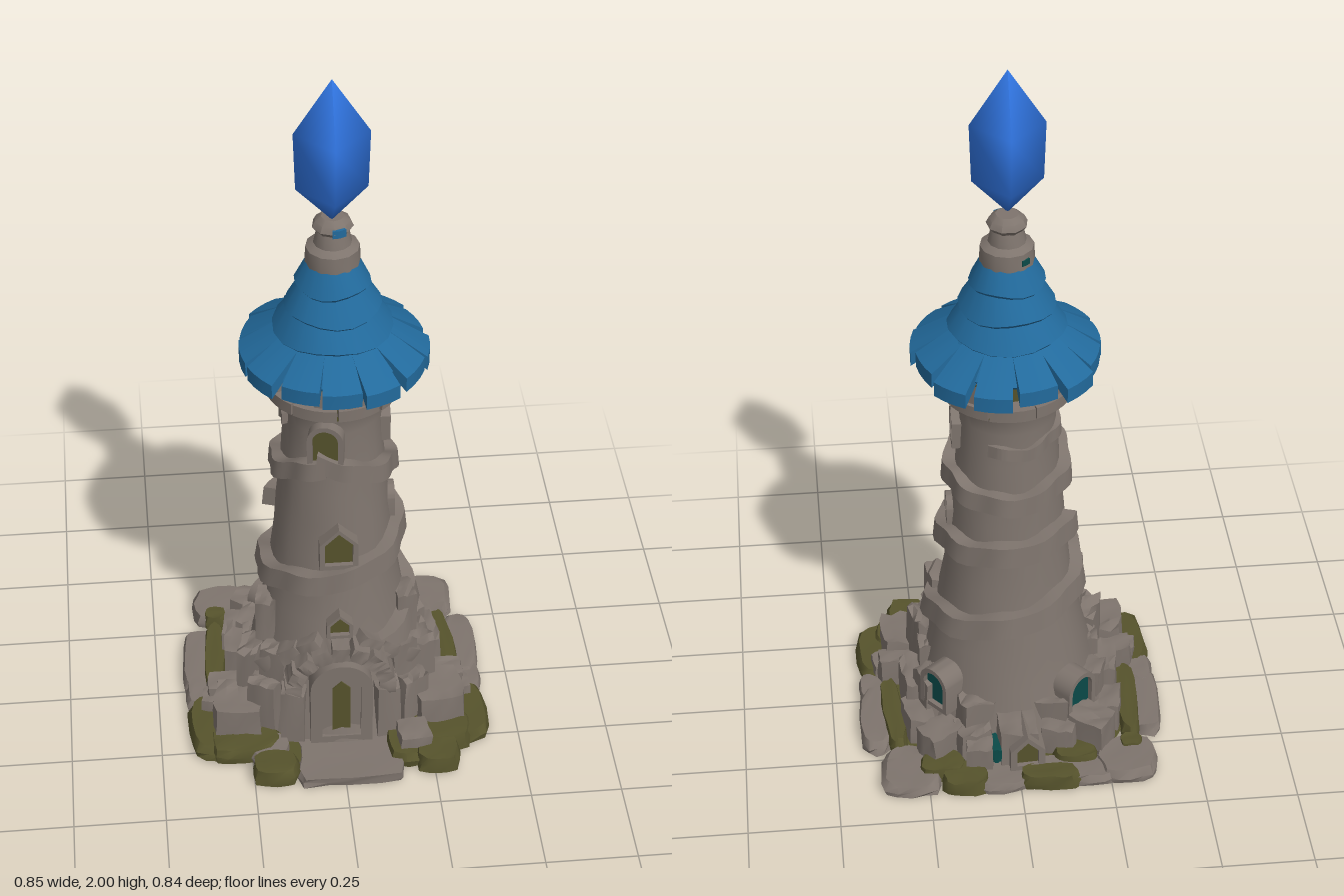
import * as THREE from 'three';
import { toCreasedNormals } from 'three/addons/utils/BufferGeometryUtils.js';

const mat = (name, color) => Object.assign(new THREE.MeshStandardMaterial({ color }), { name });

export function createModel() {
  const stone = mat('stone', 0x7e746d), moss = mat('moss', 0x56532c), tile = mat('roofBlue', 0x226a9c);
  const gem = mat('crystalBlue', 0x2f72dc), teal = mat('darkTeal', 0x0a4a48);
  const mossyStone = [stone, stone, stone, moss, stone, stone]; // box faces, moss underneath
  const root = new THREE.Group();
  const PI = Math.PI;

  const add = (name, geo, material, parent = root, crease = 0.6) => {
    const m = new THREE.Mesh(toCreasedNormals(geo, crease), material);
    m.name = name;
    parent.add(m);
    return m;
  };
  // Apply a rule to every vertex
  const warp = (geo, rule) => {
    const p = geo.attributes.position, v = new THREE.Vector3();
    for (let i = 0; i < p.count; i++) {
      rule(v.fromBufferAttribute(p, i));
      p.setXYZ(i, v.x, v.y, v.z);
    }
    return geo;
  };
  const noise = (x, y, z) => {
    const s = Math.sin(x * 127.1 + y * 311.7 + z * 74.7) * 43758.5453;
    return s - Math.floor(s) - 0.5;
  };
  // Piecewise interpolation through [key, value] pairs
  const along = (pts, t) => {
    for (let i = 1; i < pts.length; i++) {
      const [a, b] = [pts[i - 1], pts[i]];
      if (t <= b[0] || i === pts.length - 1) return a[1] + (b[1] - a[1]) * (t - a[0]) / (b[0] - a[0]);
    }
  };
  const lathe = (pts, n) => new THREE.LatheGeometry(pts.map(([r, y]) => new THREE.Vector2(r, y)), n);

  // Box bent around the tower axis; rule maps (t, vertical, radial) in 0..1 to [angle, radius, y]
  const bent = (name, material, segs, rule) => add(name, warp(new THREE.BoxGeometry(1, 1, 1, segs, 1, 1), v => {
    const [a, r, y] = rule(v.x + 0.5, v.y + 0.5, v.z + 0.5);
    v.set(Math.sin(a) * r, y, Math.cos(a) * r);
  }), material);

  // Irregular stone with softened corners, resting on height y
  const rock = (name, x, y, z, w, h, d, material, ry = 0, round = 0.3) => {
    const g = warp(new THREE.BoxGeometry(1, 1, 1, 4, 2, 4), v => {
      const n = noise(v.x + x * 9, v.y + z * 7, v.z + x), n2 = noise(v.z + z * 5, v.x + x, v.y);
      const k = 1 - round * Math.max(0, Math.hypot(v.x, v.z) - 0.42) - round * 0.25 * Math.max(0, v.y);
      v.set((v.x * k + n * 0.07) * w, Math.max(0, (v.y + 0.5 + n2 * 0.1) * h), (v.z * k + n2 * 0.07) * d);
    });
    const m = add(name, g, material, root, 0.75);
    m.position.set(x, y, z);
    m.rotation.y = ry;
    return m;
  };

  // Arched outline standing on y0, optionally pointed
  const archPath = (P, w, h, y0, pointed) => {
    const s = new P();
    s.moveTo(-w, y0);
    s.lineTo(w, y0);
    s.lineTo(w, y0 + h - w);
    if (pointed) {
      s.lineTo(0, y0 + h);
      s.lineTo(-w, y0 + h - w);
    } else s.absarc(0, y0 + h - w, w, 0, PI, false);
    s.lineTo(-w, y0);
    return s;
  };
  const ext = (s, depth) => new THREE.ExtrudeGeometry(s, { depth, bevelEnabled: false, curveSegments: 10 });
  const opening = (name, a, r, y, w, h, f, depth, paneMat, pointed = false) => {
    const g = new THREE.Group();
    g.name = name;
    const outer = archPath(THREE.Shape, w + f, h + f * 2, 0, pointed);
    outer.holes.push(archPath(THREE.Path, w, h, f, pointed));
    add(name + 'Frame', ext(outer, depth), stone, g).position.z = -depth;
    add(name + 'Pane', ext(archPath(THREE.Shape, w + 0.002, h, f, pointed), 0.008), paneMat, g).position.z = -0.022;
    g.position.set(Math.sin(a) * r, y, Math.cos(a) * r);
    g.rotation.y = a;
    root.add(g);
    return g;
  };

  // Tapered tower shaft
  const profile = [[0, 0.28], [0.1, 0.255], [0.2, 0.232], [0.3, 0.21], [0.4, 0.19], [0.5, 0.174], [0.6, 0.163],
    [0.7, 0.153], [0.8, 0.144], [0.9, 0.136], [1.0, 0.13], [1.05, 0.132], [1.08, 0.145]];
  const towerR = y => along(profile, y);
  add('towerShaft', warp(lathe([[0, 0.012], ...profile.map(([y, r]) => [r, Math.max(y, 0.012)])], 28), v => {
    const a = Math.atan2(v.x, v.z), k = 1 + 0.018 * Math.sin(a * 5 + v.y * 11) * Math.cos(a * 2 - v.y * 17);
    v.x *= k;
    v.z *= k;
  }), stone, root, 1);

  // Stone bands winding round the shaft
  const band = (name, path, h, out) => bent(name, mossyStone, 64, (t, u, w) => {
    const a = path[0][0] + (path[path.length - 1][0] - path[0][0]) * t;
    const y = along(path, a) + (u - 0.5) * h + 0.005 * Math.sin(a * 7);
    return [a, towerR(y) - 0.015 + w * (out + 0.015 + 0.005 * Math.sin(a * 9)), y];
  });
  band('lowerSpiralBand', [[0.4, 0.3], [PI / 2, 0.36], [PI, 0.42], [PI * 1.5, 0.485], [PI * 2, 0.55], [PI * 2.5, 0.615],
    [PI * 3, 0.64], [PI * 3.4, 0.66]], 0.06, 0.034);
  band('upperSpiralBand', [[-0.35, 0.93], [0, 0.9], [PI / 2, 0.82], [PI, 0.79], [PI * 1.5, 0.83], [PI * 2 - 0.2, 0.91]], 0.054, 0.03);
  band('topSpiralBand', [[PI * 0.85, 0.95], [PI * 1.1, 0.94], [PI * 1.45, 0.97], [PI * 1.6, 1.0]], 0.035, 0.01);

  // Gallery ring, mossy core, soffit and merlons
  add('galleryCore', lathe([[0.137, 1.05], [0.14, 1.185], [0.195, 1.188], [0.195, 1.195]], 20), moss);
  for (let i = 0; i < 9; i++) {
    const a = i * PI * 2 / 9, n = noise(i, 2, 3) * 0.012;
    bent('galleryRingStone', mossyStone, 4, (t, u, w) => [a + t * 0.67, 0.12 + w * (0.06 + n), 1.078 + n / 2 + u * 0.034]);
  }
  for (let i = 0; i < 12; i++) {
    const a = i * PI / 6 + 0.14, n = noise(i, 5, 1) * 0.04;
    bent('merlon', mossyStone, 2, (t, u, w) => [a + t * (0.34 + n), 0.13 + w * (0.038 + n / 4), 1.1 + u * 0.085]);
  }

  // Tiered roof
  [[0.208, 1.195, 0.135, 1.285], [0.158, 1.26, 0.11, 1.345], [0.128, 1.325, 0.085, 1.41], [0.1, 1.395, 0.066, 1.475]].forEach(([r0, y0, r1, y1], i) =>
    add('roofTier', warp(lathe([[0, y0 + 0.01], [r0 - 0.01, y0], [r0, y0 + 0.012], [r1, y1], [0, y1]], 18), v => {
      v.y += 0.006 * Math.sin(Math.atan2(v.x, v.z) * 3 + i * 2) * (v.y < y0 + 0.02 ? 1 : 0);
    }), tile));
  // Eave tiles, splayed apart at the rim
  for (let i = 0; i < 13; i++) {
    const pitch = PI * 2 / 13, n = noise(i, 1, 7), R = 0.247 + n * 0.02, skew = noise(i, 4, 2) * 0.06;
    bent('eaveTile', tile, 3, (t, u, w) => [
      pitch * (i + (t - 0.5) * (1.06 - (0.2 + n * 0.1) * w)) + skew * w, 0.14 + w * (R - 0.14),
      1.245 - w * (0.08 + n * 0.012) + u * (0.03 + w * 0.012) + skew * 0.15 * (t - 0.5)]);
  }

  // Stone finial with small inset chips, and crystal
  add('finialBase', lathe([[0, 1.465], [0.072, 1.465], [0.07, 1.51], [0.05, 1.522], [0.042, 1.56], [0, 1.56]], 12), stone);
  add('finialCap', lathe([[0, 1.55], [0.036, 1.55], [0.054, 1.572], [0.046, 1.588], [0.03, 1.6], [0, 1.6]], 9), stone);
  bent('finialChip', tile, 2, (t, u, w) => [-0.1 + t * 0.7, 0.04 + w * 0.014, 1.562 + u * 0.022]);
  bent('finialNotch', teal, 2, (t, u, w) => [PI * 1.15 + t * 0.35, 0.06 + w * 0.013, 1.478 + u * 0.016]);
  const crystal = add('crystal', lathe([[0, 1.595], [0.092, 1.69], [0.097, 1.85], [0, 2]], 4), gem, root, 1.6);
  crystal.position.set(-0.003, 0, 0.014);

  // Door with a mossy slit, arch stones, shoulders and step
  const door = opening('door', 0, 0.272, 0.02, 0.054, 0.225, 0.032, 0.12, stone);
  add('doorSlit', ext(archPath(THREE.Shape, 0.025, 0.195, 0.03, true), 0.006), moss, door).position.z = -0.016;
  for (let i = 0; i < 9; i++) {
    const t = PI * (i / 8), m = rock('archStone', Math.cos(t) * 0.108, 0.2 + Math.sin(t) * 0.11, 0.19, 0.05, 0.045, 0.13, stone, 0, 0.15);
    m.rotation.z = t - PI / 2;
  }
  for (const s of [-1, 1]) {
    for (let i = 0; i < 3; i++) {
      const m = rock('shoulderStone', s * (0.06 + i * 0.055), 0.315 - i * 0.042, 0.185 - i * 0.025, 0.07, 0.045, 0.09, stone, s * 0.3, 0.2);
      m.rotation.z = -s * 0.6;
    }
    rock('doorPier', s * 0.125, 0.01, 0.2, 0.07, 0.19, 0.12, stone, s * 0.2, 0.2);
    rock('doorPierTop', s * 0.165, 0.16, 0.14, 0.08, 0.13, 0.09, stone, s * 0.5, 0.25);
  }
  rock('doorStep', 0.018, 0, 0.325, 0.29, 0.03, 0.18, stone, 0, 0.1);

  // Windows
  opening('smallWindow', 0, 0.217, 0.365, 0.026, 0.06, 0.01, 0.06, moss, true);
  opening('middleWindow', 0, 0.186, 0.585, 0.038, 0.108, 0.014, 0.07, moss, true);
  opening('topWindow', -0.22, 0.158, 0.905, 0.034, 0.11, 0.014, 0.06, moss);
  opening('sideWindow', PI / 2, 0.151, 0.905, 0.029, 0.095, 0.012, 0.05, moss, true);
  opening('sideNiche', PI / 2, 0.167, 0.64, 0.024, 0.06, 0.014, 0.06, stone);
  opening('backRightWindow', PI * 0.72, 0.29, 0.125, 0.037, 0.105, 0.014, 0.14, teal);
  opening('backLeftWindow', -PI * 0.77, 0.285, 0.1, 0.04, 0.105, 0.014, 0.13, teal);
  opening('backArch', PI * 1.02, 0.362, 0.03, 0.03, 0.08, 0.018, 0.12, moss, true);

  // Tumbled blocks stacked against the foot: x, z, width, height, depth, turn
  const blocks = [
    [0.28, 0.165, 0.14, 0.12, 0.15, 0.1], [0.3, 0.07, 0.13, 0.085, 0.08, 0], [0.265, -0.05, 0.08, 0.13, 0.15, 0.1],
    [0.265, -0.16, 0.08, 0.1, 0.12, 0.2], [0.21, -0.25, 0.12, 0.1, 0.09, 0.6], [0.12, -0.255, 0.1, 0.1, 0.1, 0.2],
    [0.225, 0.08, 0.09, 0.24, 0.12, 0.3], [0.215, 0.0, 0.08, 0.2, 0.1, 0], [0.215, -0.11, 0.1, 0.17, 0.1, 0.4],
    [0.2, 0.17, 0.09, 0.17, 0.09, 0.5], [0.1, -0.21, 0.12, 0.16, 0.08, 0.3], [0.345, 0.1, 0.07, 0.06, 0.07, 0.2]];
  for (const s of [-1, 1]) blocks.forEach(([x, z, w, h, d, r], i) =>
    rock('footBlock', s * x, 0.015, z, w, h * (1 + 0.2 * noise(i, s, 4)), d, mossyStone, s * r, 0.35));
  rock('backBlock', 0.0, 0.01, -0.28, 0.11, 0.13, 0.12, stone, 0.05, 0.2);
  rock('backBlock', 0.105, 0.01, -0.31, 0.075, 0.09, 0.08, stone, -0.1, 0.2);
  rock('backGap', 0.06, 0.05, -0.31, 0.025, 0.045, 0.07, teal, 0, 0.1);
  for (const s of [-1, 1]) rock('upperBlock', s * 0.19, 0.28, 0.07, 0.06, 0.13, 0.09, stone, s * 0.2, 0.3);

  // Ground slabs: x, z, width, depth, mossy
  const slabs = [
    [-0.3, -0.335, 0.18, 0.17, 0], [-0.19, -0.345, 0.2, 0.15, 0], [-0.08, -0.385, 0.18, 0.075, 1], [-0.16, -0.305, 0.14, 0.09, 1],
    [0.05, -0.365, 0.17, 0.12, 0], [0.15, -0.37, 0.14, 0.11, 1], [0.21, -0.315, 0.14, 0.1, 1], [0.295, -0.32, 0.18, 0.2, 0],
    [-0.32, -0.28, 0.07, 0.06, 1], [-0.2, 0.28, 0.12, 0.12, 0], [-0.09, -0.355, 0.14, 0.11, 0],
    [-0.19, 0.355, 0.14, 0.11, 1], [0.26, 0.335, 0.13, 0.13, 1], [0.18, 0.29, 0.12, 0.16, 1]];
  for (const s of [-1, 1]) slabs.push([s * 0.38, -0.1, 0.1, 0.28, 0], [s * 0.332, -0.1, 0.065, 0.32, 1],
    [s * 0.375, 0.03, 0.1, 0.14, 0], [s * 0.345, 0.17, 0.16, 0.25, 1], [s * 0.27, 0.245, 0.22, 0.14, 1]);
  slabs.forEach(([x, z, w, d, m], i) => rock(m ? 'mossySlab' : 'groundSlab', x, 0.004, z, w,
    0.034 + noise(i, 3, 8) * 0.01 + m * 0.01, d, m ? moss : mossyStone, noise(i, 1, 1) * 0.15, 0.85));
  rock('frontStone', 0.2, 0.03, 0.29, 0.09, 0.05, 0.09, stone, 0.1, 0.2);

  // Mossy bed under the stones with a dark hollow beneath the shaft
  add('groundBed', warp(new THREE.CylinderGeometry(0.355, 0.33, 0.02, 22), v => {
    const a = Math.atan2(v.x, v.z), k = 1 + 0.06 * Math.sin(a * 2) ** 2;
    v.set(v.x * k, v.y + 0.017, v.z * k);
  }), moss);
  const hollow = add('hollow', warp(new THREE.CylinderGeometry(0.05, 0.05, 0.006, 10), v => { v.z *= 2.8; }), teal);
  hollow.position.set(0.1, 0.005, -0.02);
  hollow.rotation.y = -PI / 4;
  return root;
}
